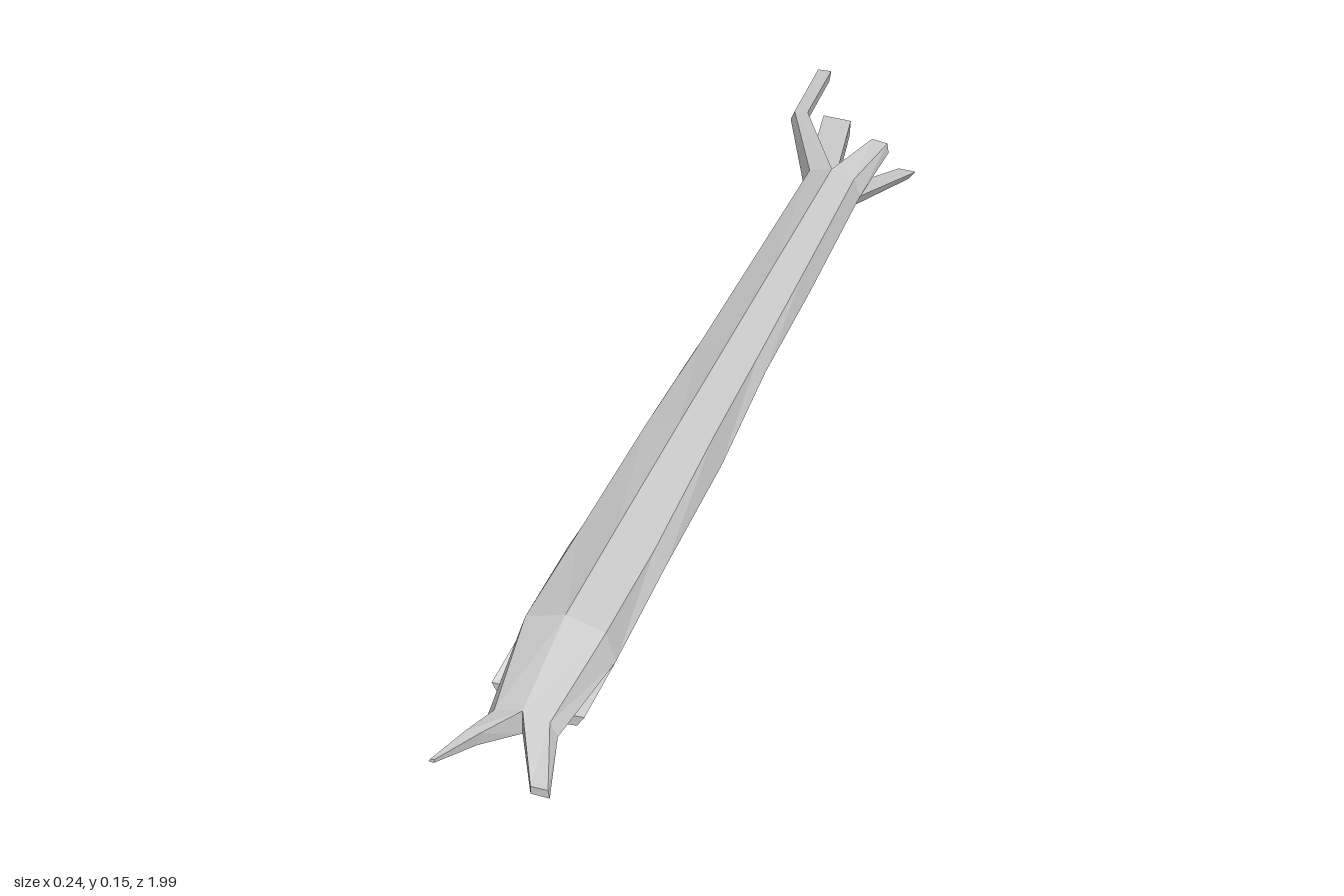
import * as THREE from 'three';

const material = new THREE.MeshStandardMaterial({ color: 0xcccccc, flatShading: true });

// Skin a list of rings; points run counter-clockwise seen from +z
function loft(name, rings) {
  const pos = [];
  const n = rings[0].length;
  const flip = rings[0][0][2] > rings[rings.length - 1][0][2];
  const tri = (a, b, c) => pos.push(...a, ...(flip ? c : b), ...(flip ? b : c));
  for (let r = 0; r < rings.length - 1; r++) {
    for (let i = 0; i < n; i++) {
      const j = (i + 1) % n;
      const [a, b, c, d] = [rings[r][i], rings[r][j], rings[r + 1][j], rings[r + 1][i]];
      tri(a, b, c);
      tri(a, c, d);
    }
  }
  const first = rings[0], last = rings[rings.length - 1];
  for (let i = 1; i < n - 1; i++) {
    tri(first[0], first[i + 1], first[i]);
    tri(last[0], last[i], last[i + 1]);
  }
  const geometry = new THREE.BufferGeometry();
  geometry.setAttribute('position', new THREE.Float32BufferAttribute(pos, 3));
  geometry.computeVertexNormals();
  const mesh = new THREE.Mesh(geometry, material);
  mesh.name = name;
  return mesh;
}

// Put a flat outline at depth z
const at = (z, outline) => outline.map(([x, y]) => [x, y, z]);

// Eight-sided trunk section: top, left-hand edges, bottom, right-hand edges
const section = ({ z, top, shoulder, side, low, bottom }) => at(z, [
  [0.004, top],
  [0.004 - shoulder[0], shoulder[1]],
  [0.004 - side[0], side[1]],
  [0.004 - low[0], low[1]],
  [0.004, bottom],
  [0.004 + low[0], low[1]],
  [0.004 + side[0], side[1]],
  [0.004 + shoulder[0], shoulder[1]],
]);

export function createModel() {
  const group = new THREE.Group();
  group.name = 'fallenLog';

  // Long tapering trunk
  const trunk = [
    { z: 0.63, top: 0.15, shoulder: [0.071, 0.129], side: [0.088, 0.073], low: [0.05, 0.024], bottom: 0.018 },
    { z: 0.37, top: 0.146, shoulder: [0.068, 0.12], side: [0.086, 0.086], low: [0.052, 0.018], bottom: 0.012 },
    { z: 0.05, top: 0.139, shoulder: [0.059, 0.121], side: [0.075, 0.07], low: [0.046, 0.026], bottom: 0.02 },
    { z: -0.2, top: 0.132, shoulder: [0.052, 0.112], side: [0.066, 0.085], low: [0.042, 0.032], bottom: 0.026 },
    { z: -0.45, top: 0.125, shoulder: [0.046, 0.108], side: [0.058, 0.073], low: [0.038, 0.039], bottom: 0.033 },
    { z: -0.73, top: 0.117, shoulder: [0.039, 0.105], side: [0.05, 0.073], low: [0.034, 0.047], bottom: 0.041 },
  ].map(section);
  group.add(loft('trunk', trunk));

  // Upper trunk running on past the lower limbs
  const head = trunk[0];
  group.add(loft('trunkFront', [
    [head[0], head[1], head[2], [0.004, 0.062, 0.63], head[6], head[7]],
    at(0.85, [[0.004, 0.105], [-0.046, 0.095], [-0.06, 0.073], [0.004, 0.058], [0.066, 0.066], [0.052, 0.092]]),
  ]));

  // Forked front limbs
  group.add(loft('frontUpperRightLimb', [
    at(0.85, [[0.004, 0.105], [-0.046, 0.095], [-0.06, 0.073], [0.004, 0.058]]),
    at(0.91, [[-0.05, 0.088], [-0.077, 0.086], [-0.086, 0.069], [-0.055, 0.062]]),
    at(0.98, [[-0.106, 0.069], [-0.114, 0.068], [-0.117, 0.063], [-0.107, 0.062]]),
  ]));
  group.add(loft('frontUpperLeftLimb', [
    at(0.85, [[0.004, 0.105], [0.004, 0.058], [0.066, 0.066], [0.052, 0.092]]),
    at(0.99, [[0.066, 0.062], [0.066, 0.047], [0.1, 0.045], [0.097, 0.061]]),
  ]));

  // Short stubs under the front
  const heart = [0.004, 0.062, 0.63];
  group.add(loft('frontLowerRightStub', [
    [heart, head[2], head[3], head[4]],
    at(0.7, [[-0.048, 0.031], [-0.102, 0.033], [-0.088, 0.007], [-0.048, 0.001]]),
  ]));
  group.add(loft('frontLowerLeftStub', [
    [heart, head[4], head[5], head[6]],
    at(0.74, [[0.03, 0.029], [0.03, 0.009], [0.062, 0.011], [0.075, 0.031]]),
  ]));

  // Four rear branches, one from each quarter of the end section
  const tail = trunk[trunk.length - 1];
  const core = [0.004, 0.072, -0.73];
  group.add(loft('rearUpperRightBranch', [
    [tail[0], tail[1], tail[2], core],
    at(-0.88, [[-0.09, 0.106], [-0.113, 0.103], [-0.12, 0.085], [-0.093, 0.083]]),
    at(-1, [[-0.09, 0.107], [-0.113, 0.105], [-0.12, 0.087], [-0.093, 0.086]]),
  ]));
  group.add(loft('rearUpperLeftBranch', [
    [tail[0], core, tail[6], tail[7]],
    at(-0.84, [[0.037, 0.11], [0.039, 0.088], [0.066, 0.088], [0.064, 0.107]]),
  ]));
  group.add(loft('rearLowerRightBranch', [
    [core, tail[2], tail[3], tail[4]],
    at(-0.92, [[-0.028, 0.075], [-0.076, 0.075], [-0.07, 0.047], [-0.03, 0.045]]),
  ]));
  group.add(loft('rearLowerLeftBranch', [
    [core, tail[4], tail[5], tail[6]],
    at(-0.83, [[0.087, 0.068], [0.082, 0.05], [0.105, 0.051], [0.117, 0.068]]),
  ]));

  return group;
}
